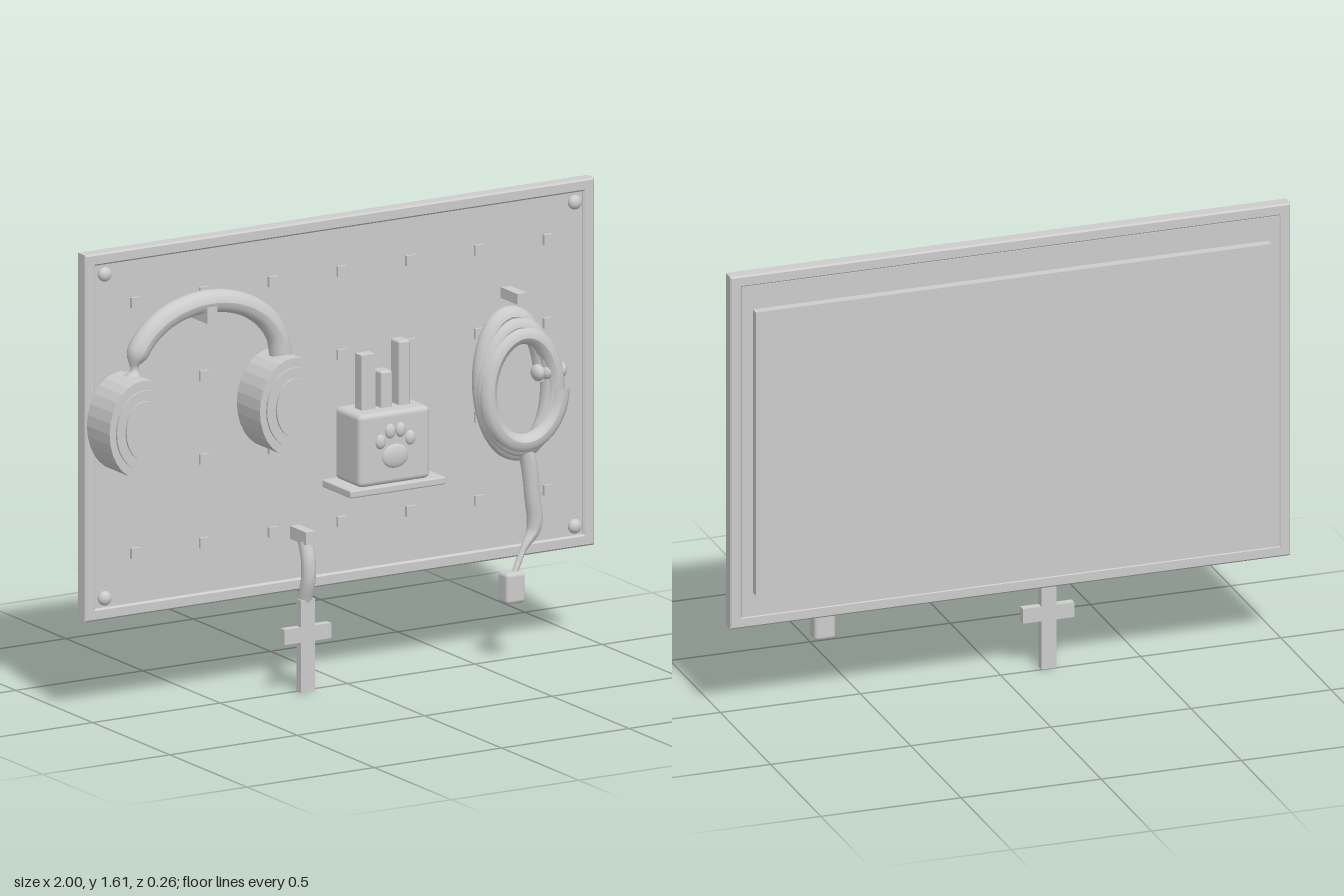
import * as THREE from 'three';
import { RoundedBoxGeometry } from 'three/addons/geometries/RoundedBoxGeometry.js';

export function createModel() {
  const root = new THREE.Group();
  const grey = new THREE.MeshStandardMaterial({ color: 0xcccccc });
  grey.name = 'plain grey';

  const add = (name, geo, x = 0, y = 0, z = 0, parent = root) => {
    const m = new THREE.Mesh(geo, grey);
    m.name = name;
    m.position.set(x, y, z);
    parent.add(m);
    return m;
  };
  const group = (name) => {
    const g = new THREE.Group();
    g.name = name;
    root.add(g);
    return g;
  };
  // Box given by its extents, optionally with rounded edges
  const box = (name, x0, x1, y0, y1, z0, z1, parent = root, r = 0) => {
    const s = [x1 - x0, y1 - y0, z1 - z0];
    const geo = r ? new RoundedBoxGeometry(...s, 2, r) : new THREE.BoxGeometry(...s);
    return add(name, geo, (x0 + x1) / 2, (y0 + y1) / 2, (z0 + z1) / 2, parent);
  };
  // Tube whose thickness follows a rule along its length
  const taperTube = (curve, segs, radius, sides, scale) => {
    const geo = new THREE.TubeGeometry(curve, segs, radius, sides, false);
    const p = geo.attributes.position;
    const v = new THREE.Vector3();
    for (let i = 0; i < p.count; i++) {
      const t = Math.floor(i / (sides + 1)) / segs;
      const c = curve.getPointAt(t);
      v.fromBufferAttribute(p, i).sub(c).multiplyScalar(scale(t)).add(c);
      p.setXYZ(i, v.x, v.y, v.z);
    }
    geo.computeVertexNormals();
    return geo;
  };
  const path = (pts) => new THREE.CatmullRomCurve3(pts.map((p) => new THREE.Vector3(...p)));

  // Board: frame with a recessed panel and a thinner mount behind
  const board = group('board');
  const rect = (S, w, y0, y1) => {
    const s = new S();
    s.moveTo(-w, y0);
    s.lineTo(w, y0);
    s.lineTo(w, y1);
    s.lineTo(-w, y1);
    s.closePath();
    return s;
  };
  const outline = rect(THREE.Shape, 1, 0.335, 1.61);
  outline.holes.push(rect(THREE.Path, 0.958, 0.377, 1.568));
  const b = 0.006;
  add('frame', new THREE.ExtrudeGeometry(outline, {
    depth: 0.052 - 2 * b, bevelEnabled: true, bevelThickness: b, bevelSize: b, bevelOffset: -b, bevelSegments: 1,
  }), 0, 0, -0.1 + b, board);
  box('panel', -0.96, 0.96, 0.375, 1.57, -0.1, -0.058, board);
  box('backMount', -0.92, 0.92, 0.46, 1.485, -0.132, -0.099, board);
  for (let i = 0; i < 7; i++) {
    for (let j = 0; j < 4; j++) {
      const x = -0.8 + 0.27 * i, y = 0.55 + 0.29 * j;
      box('peg', x - 0.018, x + 0.018, y - 0.018, y + 0.018, -0.06, -0.047, board);
    }
  }
  for (const x of [-0.923, 0.923]) {
    for (const y of [0.41, 1.535]) {
      add('screw', new THREE.SphereGeometry(0.025, 16, 10), x, y, -0.05, board).scale.z = 0.8;
    }
  }

  // Headphones: faceted oval cups and an arched band
  const headphones = group('headphones');
  const disc = (name, x, rx, ry, z0, z1) => {
    let geo = new THREE.CylinderGeometry(1, 1, z1 - z0, 28).rotateX(Math.PI / 2).scale(rx, ry, 1);
    geo = geo.toNonIndexed();
    geo.computeVertexNormals();
    add(name, geo, x, 1.02, (z0 + z1) / 2, headphones);
  };
  for (const x of [-0.862, -0.272]) {
    disc('earCup', x, 0.132, 0.17, -0.05, 0.1);
    disc('earRim', x, 0.108, 0.137, 0.09, 0.108);
    disc('earCap', x, 0.075, 0.102, 0.1, 0.116);
  }
  const bandPts = [[-0.86, 1.15, 0.015], [-0.845, 1.2, 0.015]];
  for (let i = 0; i <= 10; i++) {
    const a = Math.PI * (0.93 - 0.093 * i);
    bandPts.push([-0.562 + 0.29 * Math.cos(a), 1.185 + 0.222 * Math.sin(a), 0.015]);
  }
  bandPts.push([-0.268, 1.15, 0.015]);
  const pinch = (t) => 1 - 0.65 * Math.exp(-(((t - 0.075) / 0.035) ** 2));
  add('headband', taperTube(path(bandPts), 56, 0.039, 14, pinch), 0, 0, 0, headphones);
  box('headphoneHook', -0.585, -0.546, 1.34, 1.395, -0.06, 0.058);

  // Shelf with a pen cup
  const pens = group('penHolder');
  box('shelf', -0.065, 0.31, 0.678, 0.705, -0.06, 0.128, pens, 0.006);
  box('cup', -0.02, 0.26, 0.703, 0.955, -0.052, 0.112, pens, 0.018);
  box('ruler', 0.026, 0.08, 0.9, 1.145, 0.005, 0.05, pens);
  box('shortPen', 0.1, 0.145, 0.9, 1.08, -0.005, 0.055, pens, 0.008);
  box('tallPen', 0.17, 0.215, 0.9, 1.177, -0.005, 0.055, pens, 0.008);
  // Paw on the cup: x, y, half width, half height
  for (const [x, y, rx, ry] of [
    [0.12, 0.8, 0.052, 0.042], [0.062, 0.856, 0.02, 0.026], [0.1, 0.888, 0.02, 0.026],
    [0.141, 0.888, 0.02, 0.026], [0.179, 0.856, 0.02, 0.026],
  ]) {
    add('pawPad', new THREE.SphereGeometry(1, 18, 12), x, y, 0.111, pens).scale.set(rx, ry, 0.014);
  }

  // Coiled cable on its hook, with a tail and plug
  const cable = group('cable');
  box('cableHook', 0.637, 0.675, 1.24, 1.277, -0.06, 0.052);
  const turns = 3, n = 48;
  const coil = [];
  for (let i = 0; i <= n; i++) {
    const t = i / n;
    const a = t * turns * Math.PI * 2;
    const mix = THREE.MathUtils.lerp;
    coil.push([
      mix(0.645, 0.672, t) + mix(0.125, 0.14, t) * Math.cos(a) - 0.02 * (1 - t) * Math.sin(a),
      mix(0.955, 0.93, t) + mix(0.25, 0.172, t) * Math.sin(a),
      mix(0.0, 0.042, t),
    ]);
  }
  add('coil', taperTube(path(coil), 150, 0.032, 10, () => 1), 0, 0, 0, cable);
  for (const x of [0.735, 0.765, 0.795, 0.822]) {
    const band = add('cableWrap', new THREE.SphereGeometry(0.026, 10, 8), x, 0.985, 0.02, cable);
    band.scale.set(0.8, 1.1, 1.3);
  }
  const tail = path([[0.66, 0.76, 0.02], [0.69, 0.7, 0.025], [0.71, 0.56, 0.027], [0.718, 0.45, 0.025],
    [0.675, 0.39, 0.032], [0.63, 0.3, 0.038]]);
  add('tail', taperTube(tail, 32, 0.028, 10, (t) => (t < 0.62 ? 1 : 1 - 0.6 * Math.min(1, (t - 0.62) / 0.2))),
    0, 0, 0, cable);
  box('plug', 0.584, 0.66, 0.207, 0.315, 0.005, 0.07, cable, 0.014);

  // Key on a looped strap
  const key = group('key');
  box('keyHook', -0.19, -0.153, 0.515, 0.56, -0.06, 0.045, key);
  const strap = path([[-0.172, 0.52, 0.012], [-0.172, 0.46, 0.03], [-0.172, 0.39, 0.03], [-0.172, 0.315, 0.006]]);
  add('strap', taperTube(strap, 20, 0.025, 12, () => 1), 0, 0, 0, key);
  box('keyShaft', -0.2, -0.146, 0, 0.322, 0, 0.03, key);
  box('keyBar', -0.263, -0.08, 0.175, 0.228, 0, 0.028, key);

  return root;
}
